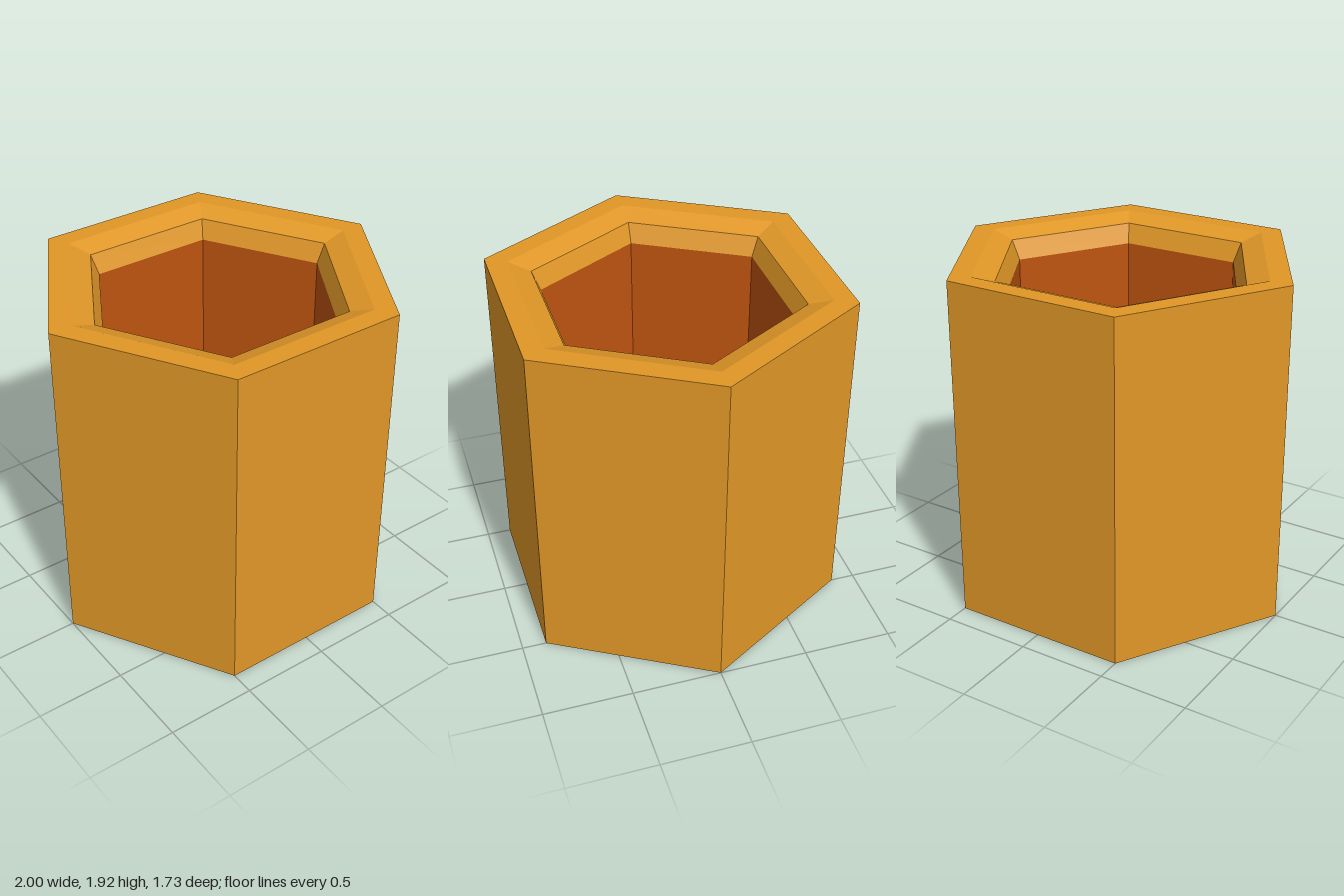
import * as THREE from 'three';

const HEIGHT = 1.92;
const LIP_BOTTOM = HEIGHT - 0.15;
const FLOOR = 0.2;

// Six-sided turned shape with flat faces and corners on the x axis
function hexLathe(name, profile, material) {
  const points = profile.map(([r, y]) => new THREE.Vector2(r, y));
  const geometry = new THREE.LatheGeometry(points, 6, Math.PI / 2).toNonIndexed();
  geometry.computeVertexNormals();
  const mesh = new THREE.Mesh(geometry, material);
  mesh.name = name;
  return mesh;
}

export function createModel() {
  const amber = new THREE.MeshStandardMaterial({ color: 0xe09727 });
  amber.name = 'amber';
  const rust = new THREE.MeshStandardMaterial({ color: 0xbe5410 });
  rust.name = 'rust';

  const group = new THREE.Group();
  group.name = 'hexagonalCell';

  // Base, outer walls, flat rim and two-step inner bevel
  group.add(hexLathe('outerShell', [
    [0, 0], [1, 0], [1, HEIGHT], [0.87, HEIGHT],
    [0.74, HEIGHT - 0.042], [0.693, LIP_BOTTOM],
  ], amber));

  // Hollow interior: walls and floor
  group.add(hexLathe('innerHollow', [
    [0.693, LIP_BOTTOM], [0.693, FLOOR], [0, FLOOR],
  ], rust));

  return group;
}
